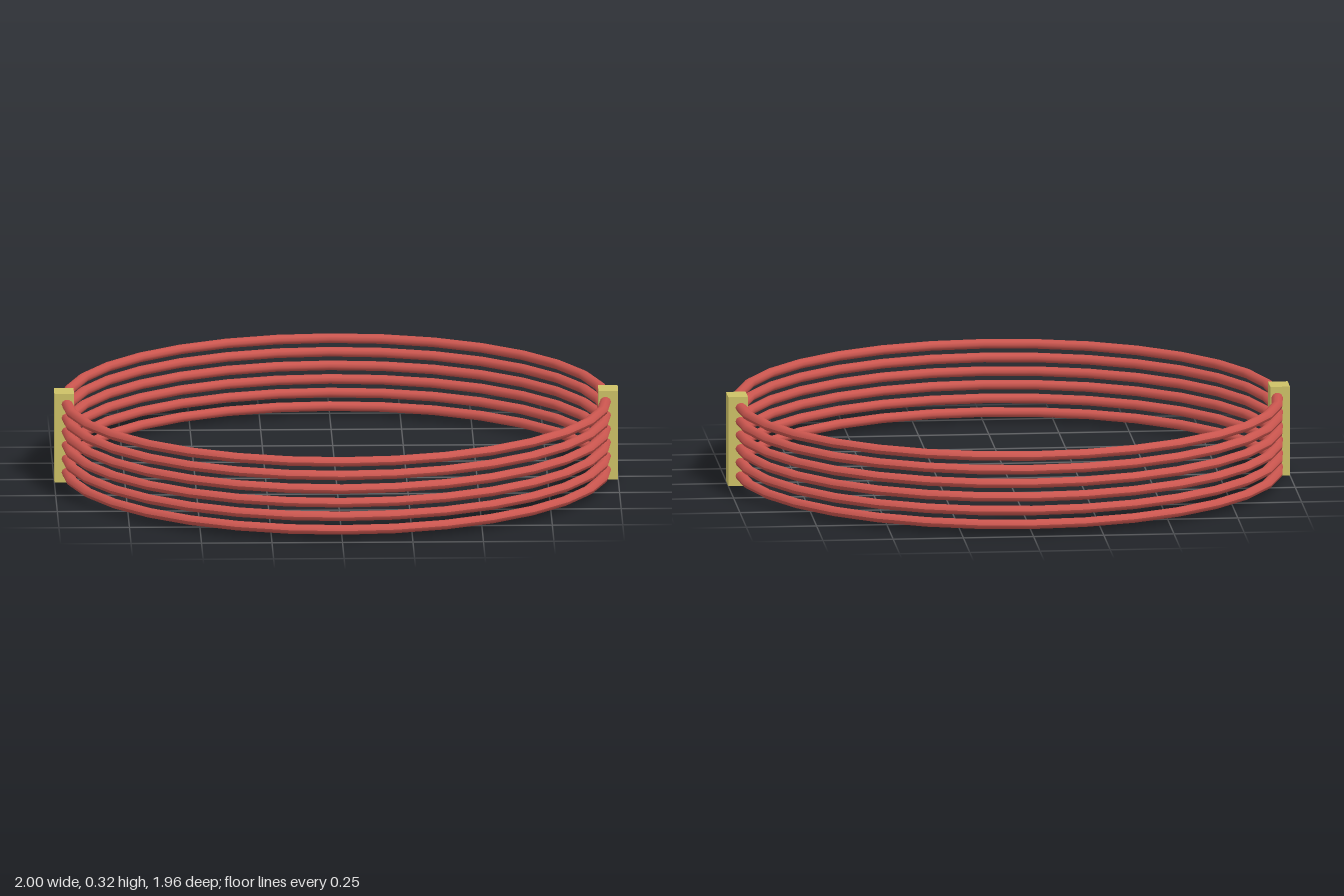
import * as THREE from 'three';

export function createModel() {
  const group = new THREE.Group();
  const red = new THREE.MeshStandardMaterial({ color: 0xcb564f });
  red.name = 'red';
  const gold = new THREE.MeshStandardMaterial({ color: 0xccc066 });
  gold.name = 'gold';

  // Slightly oval wire section, swept round the vertical axis
  const section = [];
  for (let i = 0; i <= 10; i++) {
    const a = (i / 10) * Math.PI * 2;
    section.push(new THREE.Vector2(0.959 + 0.02 * Math.cos(a), 0.017 * Math.sin(a)));
  }
  const ringGeometry = new THREE.LatheGeometry(section, 32);

  // Stack of six equal rings
  for (let i = 0; i < 6; i++) {
    const ring = new THREE.Mesh(ringGeometry, red);
    ring.name = `ring${i + 1}`;
    ring.position.y = 0.036 + i * 0.0495;
    group.add(ring);
  }

  // Upright clasp bars that hold the rings on both sides
  const barGeometry = new THREE.BoxGeometry(0.07, 0.322, 0.092);
  for (const [name, side] of [['leftClasp', 1], ['rightClasp', -1]]) {
    const bar = new THREE.Mesh(barGeometry, gold);
    bar.name = name;
    bar.position.set(side * 0.965, 0.161, 0);
    group.add(bar);
  }
  return group;
}
